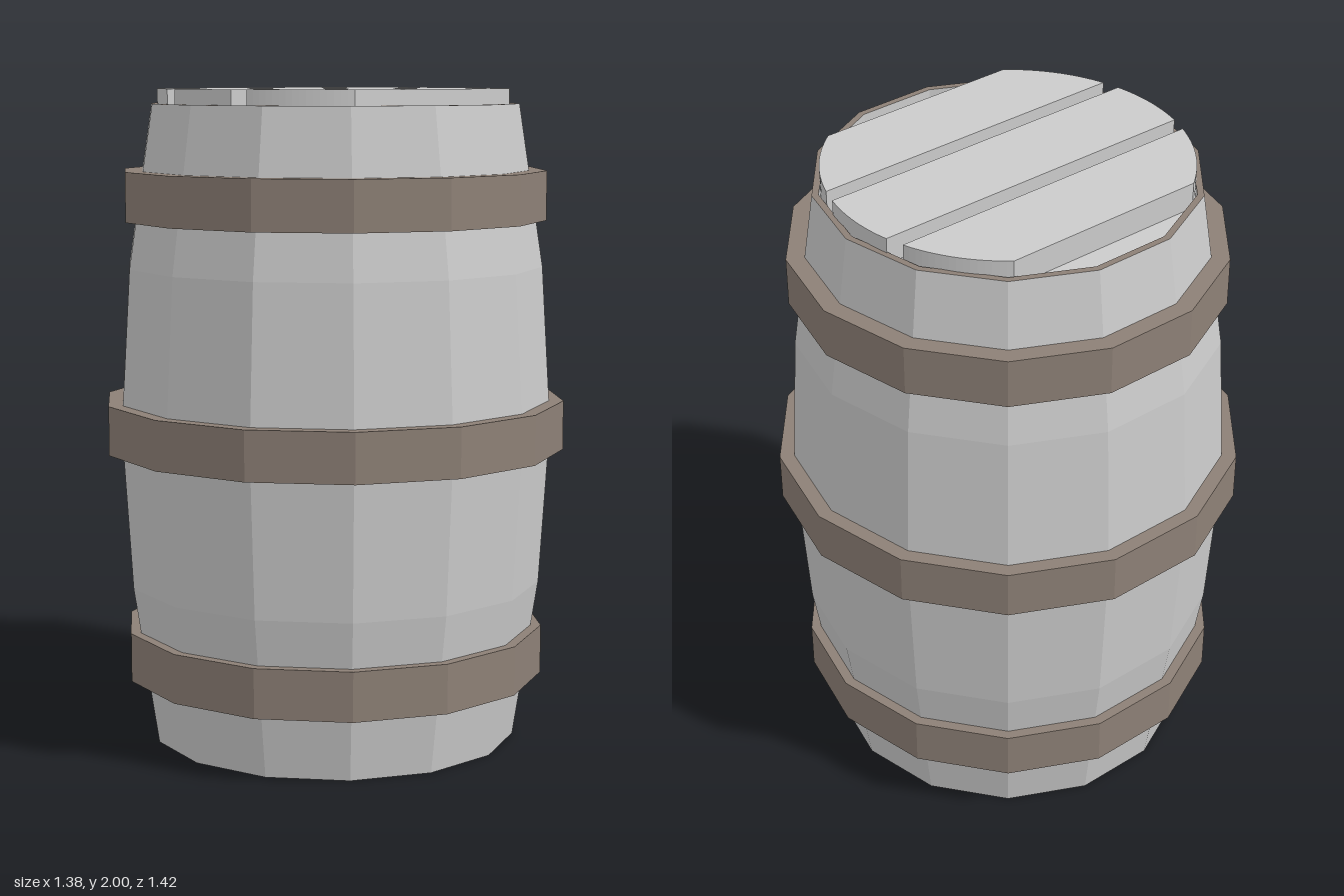
import * as THREE from 'three';

const SIDES = 14;
const wood = new THREE.MeshStandardMaterial({ color: 0xcccccc, flatShading: true });
const iron = new THREE.MeshStandardMaterial({ color: 0x8d8076, flatShading: true });

// Faceted ring or shell turned from [radius, height] pairs
function turned(name, profile, material) {
  const points = profile.map(([r, y]) => new THREE.Vector2(r, y));
  const mesh = new THREE.Mesh(new THREE.LatheGeometry(points, SIDES), material);
  mesh.name = name;
  return mesh;
}

// Lid plank: a strip of a disc between x0 and x1, with curved ends
function plank(x0, x1, radius, bottom, top) {
  const a0 = Math.acos(x0 / radius);
  const a1 = Math.acos(x1 / radius);
  const shape = new THREE.Shape();
  shape.absarc(0, 0, radius, a1, a0, false);
  shape.absarc(0, 0, radius, -a0, -a1, false);
  shape.closePath();
  const geometry = new THREE.ExtrudeGeometry(shape, {
    depth: top - bottom, bevelEnabled: false, curveSegments: 8,
  });
  geometry.rotateX(-Math.PI / 2).translate(0, bottom, 0);
  const mesh = new THREE.Mesh(geometry, wood);
  mesh.name = 'lidPlank';
  return mesh;
}

export function createModel() {
  const barrel = new THREE.Group();
  barrel.name = 'barrel';
  const height = 1.955, rim = 0.565, inner = 0.545;
  const floorY = 0.01, lidY = 1.92;

  // Bulging body
  barrel.add(turned('body', [
    [rim, 0], [0.64, 0.49], [0.67, 0.98], [0.64, 1.465], [rim, height],
  ], wood));

  // Thin rims at both ends
  barrel.add(turned('bottomRim', [[inner, 0], [rim, 0]], iron));
  barrel.add(turned('topRim', [[rim, height], [inner, height]], iron));

  // Slightly recessed end boards
  barrel.add(turned('bottomBoard', [[0, floorY], [inner, floorY], [inner, 0]].reverse()
    .map(([r, y]) => [r, y]).reverse(), wood));
  barrel.add(turned('topBoard', [[inner, height], [inner, lidY], [0, lidY]], wood));
  // The bottom recess wall faces inward
  barrel.getObjectByName('bottomBoard').geometry.computeBoundingBox();

  // Three hoops: [outer radius, inner radius, bottom height]
  for (const [outer, inside, y] of [[0.65, 0.58, 0.2], [0.71, 0.65, 0.905], [0.65, 0.58, 1.605]]) {
    barrel.add(turned('hoop', [
      [inside, y], [outer, y], [outer, y + 0.15], [inside, y + 0.15],
    ], iron));
  }

  // Lid planks with gaps between
  for (const [x0, x1] of [[-0.428, -0.18], [-0.127, 0.125], [0.175, 0.427]]) {
    barrel.add(plank(x0, x1, 0.535, lidY, 2));
  }
  return barrel;
}
